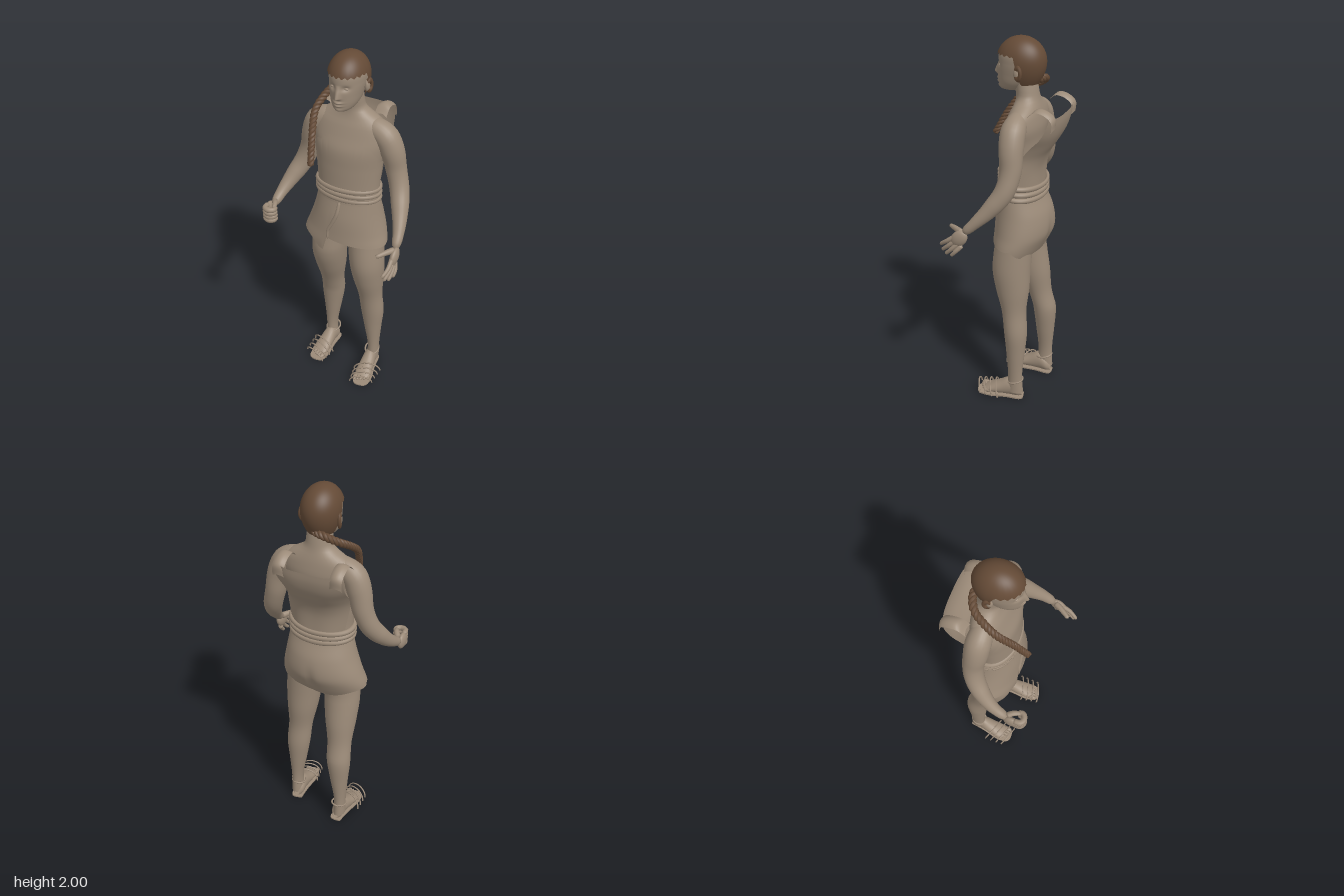
import * as THREE from 'three';
import { mergeVertices } from 'three/addons/utils/BufferGeometryUtils.js';

const V = (x, y, z) => new THREE.Vector3(x, y, z);
const clamp = THREE.MathUtils.clamp;
const bump = (d, w) => Math.exp(-(d * d) / (w * w));

// Smooth surface from fn(u, v) -> [x, y, z]
function surface(fn, nu, nv, wrap = false) {
  const pos = [], idx = [], cols = wrap ? nu : nu + 1;
  for (let i = 0; i <= nv; i++)
    for (let j = 0; j < cols; j++) pos.push(...fn(j / nu, i / nv));
  for (let i = 0; i < nv; i++)
    for (let j = 0; j < nu; j++) {
      const k = (j + 1) % cols, a = i * cols + j, b = i * cols + k;
      idx.push(a, b, b + cols, a, b + cols, a + cols);
    }
  const g = new THREE.BufferGeometry();
  g.setAttribute('position', new THREE.Float32BufferAttribute(pos, 3));
  g.setIndex(idx);
  g.computeVertexNormals();
  return g;
}

// Cubic interpolation through rows of [y, ...values]
function profile(keys) {
  const slope = (i, c) => {
    const a = keys[Math.max(i - 1, 0)], b = keys[Math.min(i + 1, keys.length - 1)];
    return (b[c] - a[c]) / (b[0] - a[0]);
  };
  return y => {
    let i = 0;
    while (i < keys.length - 2 && y > keys[i + 1][0]) i++;
    const a = keys[i], b = keys[i + 1], h = b[0] - a[0], t = clamp((y - a[0]) / h, 0, 1);
    return [1, 2, 3, 4].map(c => {
      const t2 = t * t, t3 = t2 * t;
      return (2 * t3 - 3 * t2 + 1) * a[c] + (t3 - 2 * t2 + t) * h * slope(i, c)
        + (3 * t2 - 2 * t3) * b[c] + (t3 - t2) * h * slope(i + 1, c);
    });
  };
}

// Stacked ellipses [cx, cz, rx, rz]; bottom and top edges may vary with the angle
function loft(shape, bottom, top, rows, segs, warp = p => p, ease = t => t) {
  const at = (f, a) => (typeof f === 'function' ? f(a) : f);
  return surface((u, v) => {
    const a = u * Math.PI * 2, lo = at(bottom, a), y = lo + (at(top, a) - lo) * ease(v);
    const [cx, cz, rx, rz] = shape(y);
    return warp([cx + rx * Math.sin(a), y, cz + rz * Math.cos(a)]);
  }, segs, rows, true);
}

// Tube whose radius follows a list of values, ends rounded off
function limb(points, radii, segs = 14, rows = 28) {
  const curve = new THREE.CatmullRomCurve3(points.map(p => V(...p)));
  let g = new THREE.TubeGeometry(curve, rows, 1, segs);
  const p = g.attributes.position, v = V();
  for (let i = 0; i <= rows; i++) {
    const c = curve.getPointAt(i / rows), f = (i / rows) * (radii.length - 1);
    const k = Math.min(Math.floor(f), radii.length - 2);
    const cap = Math.sqrt(Math.max(0.02, 1 - Math.pow(Math.abs(2 * i / rows - 1), 18)));
    const r = THREE.MathUtils.lerp(radii[k], radii[k + 1], f - k) * cap;
    for (let j = 0; j <= segs; j++) {
      const n = i * (segs + 1) + j;
      v.fromBufferAttribute(p, n).sub(c).multiplyScalar(r).add(c);
      p.setXYZ(n, v.x, v.y, v.z);
    }
  }
  g.deleteAttribute('uv');
  g.deleteAttribute('normal');
  g = mergeVertices(g, 1e-5);
  g.computeVertexNormals();
  return g;
}

export function createModel() {
  const skin = new THREE.MeshStandardMaterial({ color: 0x9b8a78, side: THREE.DoubleSide });
  skin.name = 'tan';
  const brown = new THREE.MeshStandardMaterial({ color: 0x644a36, side: THREE.DoubleSide });
  brown.name = 'hair brown';
  const model = new THREE.Group();
  const add = (name, geo, mat = skin, parent = model) => {
    const m = new THREE.Mesh(geo, mat);
    m.name = name;
    parent.add(m);
    return m;
  };
  const ball = (name, at, size, mat = skin, parent = model) => {
    const m = add(name, new THREE.SphereGeometry(1, 20, 14), mat, parent);
    m.position.set(...at);
    m.scale.set(...size);
    return m;
  };

  // Torso and neck
  const torso = profile([[0.89, 0, -0.045, 0.015, 0.03], [0.93, 0, -0.05, 0.11, 0.09], [1, 0, -0.06, 0.18, 0.128],
    [1.1, 0, -0.055, 0.174, 0.123], [1.25, 0, -0.045, 0.16, 0.1], [1.4, 0, -0.05, 0.17, 0.1],
    [1.5, 0, -0.055, 0.185, 0.1], [1.57, 0, -0.07, 0.2, 0.092], [1.63, 0, -0.077, 0.185, 0.078],
    [1.66, 0, -0.08, 0.145, 0.068], [1.7, 0, -0.078, 0.078, 0.058], [1.75, 0, -0.07, 0.066, 0.056], [1.8, 0, -0.06, 0.064, 0.055]]);
  add('torso', loft(torso, 0.89, 1.8, 60, 40));

  // Head with eye sockets, nose, lips and chin
  const head = profile([[1.728, 0, 0.02, 0.012, 0.02], [1.74, 0, 0.01, 0.042, 0.058], [1.77, 0, -0.01, 0.066, 0.085],
    [1.82, 0, -0.03, 0.08, 0.108], [1.87, 0, -0.042, 0.088, 0.117], [1.92, 0, -0.045, 0.086, 0.114],
    [1.96, 0, -0.04, 0.06, 0.08], [1.985, 0, -0.04, 0.02, 0.03]]);
  const face = ([x, y, z]) => {
    if (z > 0) {
      const ax = Math.abs(x);
      z -= 0.011 * bump(ax - 0.034, 0.018) * bump(y - 1.86, 0.013);
      const drop = clamp((1.875 - y) / 0.06, 0, 1) * clamp((y - 1.8) / 0.012, 0, 1);
      z += 0.023 * drop * bump(x, 0.013);
      z += 0.01 * bump(x, 0.022) * (bump(y - 1.787, 0.006) + bump(y - 1.771, 0.006));
      z += 0.006 * bump(x, 0.02) * bump(y - 1.747, 0.012);
    }
    return [x, y, z];
  };
  add('head', loft(head, 1.728, 1.985, 80, 96, face));
  for (const s of [-1, 1]) {
    ball('eye', [s * 0.034, 1.858, 0.054], [0.012, 0.006, 0.008]);
    ball('ear', [s * 0.092, 1.84, -0.05], [0.013, 0.03, 0.016]);
    const coil = add('earBraid', new THREE.TorusGeometry(0.015, 0.009, 8, 20), brown);
    coil.position.set(s * 0.098, 1.84, -0.06);
    coil.rotation.y = Math.PI / 2 - s * 0.3;
    coil.scale.y = 1.7;
  }

  // Hair cap with a ragged fringe, lower at the back
  const hairShape = y => {
    const d = y - 1.88;
    const r = d > 0 ? Math.sqrt(Math.max(0, 1 - (d / 0.12) ** 2)) : 1 - 0.5 * (d / 0.14) ** 2;
    return [0, -0.042, 0.1 * r, 0.125 * r];
  };
  const hairline = a => {
    const t = Math.min(a, Math.PI * 2 - a), s = THREE.MathUtils.smoothstep(t, 1.45, 1.85);
    return 1.915 - 0.14 * s + 0.005 * Math.sin(a * 22) * (1 - s);
  };
  add('hair', loft(hairShape, hairline, 2, 28, 88, p => p, t => Math.sin(t * Math.PI / 2)), brown);

  // Braid of three twisted strands
  const braidPath = new THREE.CatmullRomCurve3([V(0, 1.795, -0.128), V(-0.055, 1.79, -0.143), V(-0.115, 1.76, -0.115),
    V(-0.15, 1.71, -0.04), V(-0.158, 1.67, 0.01), V(-0.137, 1.57, 0.085), V(-0.113, 1.45, 0.148)]);
  const frames = braidPath.computeFrenetFrames(120);
  for (let k = 0; k < 3; k++) {
    const pts = [];
    for (let i = 0; i <= 120; i++) {
      const a = i * 0.42 + k * Math.PI * 2 / 3, r = 0.0105 * (1 - 0.35 * i / 120);
      pts.push(braidPath.getPointAt(i / 120).addScaledVector(frames.normals[i], r * Math.cos(a))
        .addScaledVector(frames.binormals[i], r * Math.sin(a)));
    }
    add('braidStrand', new THREE.TubeGeometry(new THREE.CatmullRomCurve3(pts), 240, 0.0105, 8), brown);
  }
  ball('braidTip', [-0.113, 1.452, 0.147], [0.011, 0.011, 0.011], brown);

  // Tunic front with a stepped neckline
  const neckline = a => {
    const t = Math.min(a, Math.PI * 2 - a);
    return t < 0.4 ? 1.57 : t < 0.58 ? 1.552 : t < 0.8 ? 1.53 : t < 1.2 ? 1.53 - (t - 0.8) * 0.15 : 1.45;
  };
  add('tunic', loft(y => torso(y).map((n, i) => n + (i > 1 ? 0.008 : 0)), 1.2, neckline, 26, 120));

  // Loose tunic back standing away from the shoulders, with two shoulder folds
  const backLine = profile([[1.22, 0, -0.158, 0.14, 0.06], [1.35, 0, -0.162, 0.165, 0.07], [1.42, -0.005, -0.182, 0.175, 0.08],
    [1.48, -0.01, -0.218, 0.18, 0.075], [1.54, -0.015, -0.25, 0.182, 0.05], [1.6, -0.018, -0.267, 0.18, 0.035],
    [1.65, -0.018, -0.27, 0.175, 0.025]]);
  add('tunicBack', surface((u, v) => {
    const y = 1.22 + 0.425 * v, [cx, cz, w, curl] = backLine(y), s = 1 - 2 * u;
    return [cx + w * s, y + 0.012 * v * s ** 4, cz + curl * Math.abs(s) ** 3];
  }, 30, 28));
  for (const [name, x] of [['rightShoulderFold', -0.172], ['leftShoulderFold', 0.128]]) {
    const path = new THREE.CatmullRomCurve3([V(x, 1.6, -0.262), V(x, 1.65, -0.262), V(x, 1.682, -0.225),
      V(x, 1.69, -0.175), V(x, 1.655, -0.135)]);
    add(name, surface((u, v) => {
      const p = path.getPoint(v), s = 1 - 2 * u;
      return [p.x + 0.032 * s, p.y - 0.012 * s * s, p.z + 0.008 * s * s];
    }, 8, 20));
  }

  // Rope belt
  for (let i = 0; i < 3; i++) {
    const g = new THREE.TorusGeometry(1, 0.085, 10, 56);
    g.rotateX(Math.PI / 2);
    const rope = add('beltRope', g);
    rope.scale.set(0.168, 0.165, 0.115);
    rope.position.set(-0.005, 1.212 + i * 0.028, -0.054);
    rope.rotation.set(-0.1, 0, 0.02 * (i - 1));
  }

  // Short wrapped skirt with an uneven hem and a shallow crease behind
  const skirt = profile([[0.85, -0.018, -0.025, 0.235, 0.112], [0.93, -0.016, -0.044, 0.235, 0.136], [1, -0.012, -0.06, 0.217, 0.148],
    [1.1, -0.005, -0.06, 0.19, 0.141], [1.2, 0, -0.05, 0.17, 0.114], [1.25, 0, -0.05, 0.164, 0.106]]);
  const hem = a => {
    const x = Math.sin(a), z = Math.cos(a);
    if (z < 0) return 0.935 + 0.055 * z + 0.01 * Math.sin(a * 5);
    return x < -0.25 ? 0.935 - 0.055 * bump(x + 0.33, 0.25) : 0.965 - 0.03 * x;
  };
  const crease = ([x, y, z]) => [x, y, z + (z < -0.1 ? 0.009 * bump(x, 0.025) * bump(y - 0.98, 0.07) : 0)];
  add('skirt', loft(skirt, hem, 1.24, 24, 80, crease));
  add('skirtFold', limb([[0, 1.21, 0.062], [-0.008, 1.14, 0.077], [-0.035, 1.07, 0.081], [-0.058, 1.02, 0.084], [-0.06, 0.965, 0.086]],
    [0.008, 0.01, 0.011, 0.009, 0.006], 10));

  // Legs and sandalled feet; the right leg stands a little further back
  const leg = profile([[0.04, 0.15, -0.07, 0.033, 0.045], [0.15, 0.152, -0.07, 0.032, 0.04], [0.3, 0.145, -0.07, 0.05, 0.052],
    [0.42, 0.14, -0.068, 0.065, 0.062], [0.55, 0.131, -0.055, 0.067, 0.066], [0.68, 0.122, -0.043, 0.084, 0.09],
    [0.8, 0.115, -0.035, 0.094, 0.102], [0.96, 0.1, -0.045, 0.095, 0.1]]);
  for (const s of [-1, 1]) {
    const side = s > 0 ? 'left' : 'right', back = s > 0 ? 0 : -0.065;
    add(side + 'Leg', loft(y => {
      const [x, z, rx, rz] = leg(y);
      return [s * x, z + back * clamp((0.85 - y) / 0.4, 0, 1), rx, rz];
    }, 0.04, 0.96, 40, 28));

    const foot = new THREE.Group();
    foot.name = side + 'Foot';
    foot.position.set(s * 0.15, 0, back);
    foot.rotation.y = s * 0.08;
    model.add(foot);
    const corners = [[-0.03, -0.11], [0.03, -0.11], [0.038, -0.02], [0.052, 0.08], [0.035, 0.14],
      [-0.03, 0.145], [-0.05, 0.08], [-0.036, -0.02], [-0.03, -0.11]].map(p => new THREE.Vector2(...p));
    const soleGeo = new THREE.ExtrudeGeometry(new THREE.Shape(new THREE.SplineCurve(corners).getPoints(40)),
      { depth: 0.008, bevelEnabled: false });
    soleGeo.rotateX(Math.PI / 2).translate(0, 0.008, 0);
    add('sole', soleGeo, skin, foot);
    const instep = profile([[-0.11, 0, 0.03, 0.015, 0.018], [-0.09, 0, 0.045, 0.032, 0.038], [-0.04, 0, 0.06, 0.036, 0.055],
      [0.02, 0, 0.045, 0.042, 0.04], [0.08, 0, 0.03, 0.046, 0.022], [0.105, 0, 0.026, 0.036, 0.012]]);
    add('instep', surface((u, v) => {
      const z = -0.11 + 0.215 * v, a = -u * Math.PI * 2, [cx, cy, rx, ry] = instep(z);
      return [cx + rx * Math.sin(a), Math.max(0.012, cy + ry * Math.cos(a)), z];
    }, 24, 24, true), skin, foot);
    for (let t = 0; t < 5; t++)
      ball('toe', [s * (-0.034 + t * 0.018), 0.025, 0.112 - t * t * 0.002], [t ? 0.0095 : 0.014, 0.012, 0.026], skin, foot);
    for (let t = 0; t < 4; t++) {
      const strap = add('sandalStrap', new THREE.TorusGeometry(0.076, 0.0045, 6, 24, Math.PI), skin, foot);
      strap.position.set(s * 0.008, 0.018, 0.03 + t * 0.034);
      strap.scale.set(1 - t * 0.05, 0.88 - t * 0.07, 1);
      strap.rotation.set(0.2, s * 0.25, 0);
    }
    const ankle = add('ankleStrap', new THREE.TorusGeometry(0.039, 0.005, 8, 28), skin, foot);
    ankle.position.set(0, 0.105, -0.068);
    ankle.rotation.x = Math.PI / 2 + 0.25;
    ankle.scale.y = 1.12;
  }

  // Arms, starting inside the chest so that the shoulders slope smoothly
  const armRadii = [0.03, 0.052, 0.063, 0.062, 0.056, 0.052, 0.05, 0.046, 0.037, 0.028, 0.026];
  add('leftArm', limb([[0.05, 1.64, -0.075], [0.12, 1.617, -0.073], [0.185, 1.578, -0.073], [0.222, 1.5, -0.077], [0.243, 1.4, -0.083],
    [0.274, 1.3, -0.062], [0.308, 1.21, 0], [0.335, 1.135, 0.07], [0.346, 1.075, 0.13]], armRadii, 24, 48));
  add('rightArm', limb([[-0.05, 1.64, -0.075], [-0.12, 1.617, -0.073], [-0.182, 1.578, -0.073], [-0.215, 1.5, -0.077], [-0.24, 1.4, -0.083],
    [-0.272, 1.31, -0.065], [-0.312, 1.23, -0.01], [-0.338, 1.17, 0.055], [-0.35, 1.12, 0.135]], armRadii, 24, 48));

  // Open left hand
  const palm = ball('leftPalm', [0.352, 1.045, 0.15], [0.02, 0.038, 0.052]);
  palm.rotation.x = 0.75;
  const tips = [[0.335, 0.985, 0.265], [0.342, 0.958, 0.253], [0.355, 0.945, 0.228], [0.365, 0.945, 0.193]];
  tips.forEach((tip, i) => {
    const root = [0.35, 1.05 - i * 0.014, 0.174 - i * 0.013];
    const mid = root.map((n, k) => (n + tip[k]) / 2 + (k === 0 ? 0.008 : 0));
    add('leftFinger', limb([root, mid, tip], [0.0135, 0.0115, 0.009], 10, 14));
  });
  add('leftThumb', limb([[0.345, 1.075, 0.135], [0.318, 1.078, 0.18], [0.285, 1.075, 0.23]], [0.018, 0.014, 0.01], 10, 14));

  // Closed right hand gripping around an empty centre
  ball('rightPalm', [-0.358, 1.112, 0.162], [0.02, 0.043, 0.046]);
  for (let i = 0; i < 4; i++) {
    const y = 1.147 - i * 0.021;
    add('rightFinger', limb([[-0.361, y, 0.17], [-0.355, y, 0.208], [-0.33, y, 0.218], [-0.308, y, 0.204], [-0.309, y, 0.176]],
      [0.014, 0.015, 0.015, 0.014, 0.011], 10, 20));
  }
  add('rightThumb', limb([[-0.345, 1.145, 0.13], [-0.325, 1.155, 0.16], [-0.312, 1.152, 0.195]], [0.016, 0.014, 0.01], 10, 14));

  return model;
}
